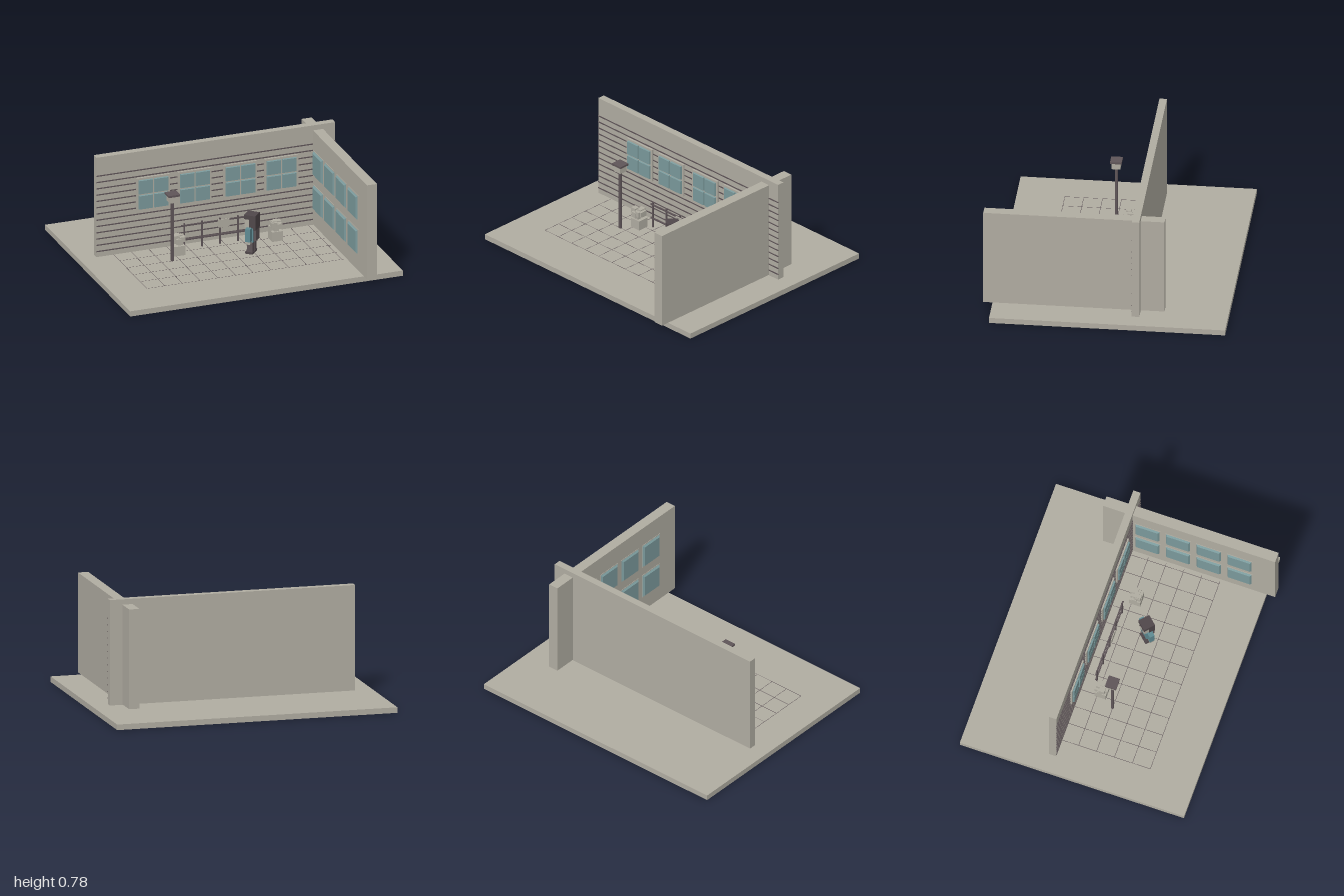
import * as THREE from 'three';

const mat = (name, color) => Object.assign(new THREE.MeshStandardMaterial({ color }), { name });

export function createModel() {
  const stone = mat('warm grey', 0xb0aca1);
  const dark = mat('dark plum', 0x5f5558);
  const glass = mat('teal glass', 0x7a999b);
  const cloth = mat('teal cloth', 0x5f8a92);
  const hair = mat('dark hair', 0x50474a);

  const root = new THREE.Group();
  root.name = 'courtyard';

  // Box given by its minimum and maximum corners
  function box(parent, name, m, x0, x1, y0, y1, z0, z1) {
    const mesh = new THREE.Mesh(new THREE.BoxGeometry(x1 - x0, y1 - y0, z1 - z0), m);
    mesh.position.set((x0 + x1) / 2, (y0 + y1) / 2, (z0 + z1) / 2);
    mesh.name = name;
    parent.add(mesh);
    return mesh;
  }
  function group(name, x = 0, y = 0, z = 0) {
    const g = new THREE.Group();
    g.name = name;
    g.position.set(x, y, z);
    root.add(g);
    return g;
  }
  // Pane whose front (+z) face is slightly smaller than its back
  function pane(parent, m, x, y, z, w, h, d, inset) {
    const geo = new THREE.BoxGeometry(w, h, d).toNonIndexed();
    const p = geo.attributes.position;
    for (let i = 0; i < p.count; i++) {
      if (p.getZ(i) > 0) {
        p.setX(i, p.getX(i) - Math.sign(p.getX(i)) * inset);
        p.setY(i, p.getY(i) - Math.sign(p.getY(i)) * inset);
      }
    }
    geo.computeVertexNormals();
    const mesh = new THREE.Mesh(geo, m);
    mesh.name = 'windowPane';
    mesh.position.set(x, y, z + d / 2);
    parent.add(mesh);
  }

  // Ground slab and the two walls
  box(root, 'floor', stone, -1, 1, 0, 0.039, -0.845, 0.782);
  box(root, 'backWall', stone, -0.875, 0.875, 0.039, 0.778, -0.24, -0.188);
  box(root, 'sideWall', stone, 0.713, 0.786, 0.042, 0.741, -0.404, 0.845);

  // Siding grooves
  const siding = group('siding');
  for (let i = 0; i < 13; i++) {
    const y = 0.08 + i * 0.0467;
    box(siding, 'sidingStrip', dark, -0.875, 0.875, y - 0.004, y + 0.004, -0.189, -0.185);
  }

  // Thin paving joints
  const paving = group('pavingJoints');
  for (let x = -0.75; x < 0.7; x += 0.13)
    box(paving, 'joint', dark, x - 0.0015, x + 0.0015, 0.038, 0.0395, -0.187, 0.45);
  for (let z = -0.07; z < 0.5; z += 0.13)
    box(paving, 'joint', dark, -0.75, 0.7, 0.038, 0.0395, z - 0.0015, z + 0.0015);

  // Four framed windows with 2 x 2 panes
  for (const x of [-0.463, -0.158, 0.175, 0.477]) {
    const w = group('backWindow', x, 0.461, -0.188);
    box(w, 'frame', stone, -0.123, 0.123, -0.123, 0.123, 0, 0.013);
    for (const sx of [-1, 1])
      for (const sy of [-1, 1])
        pane(w, glass, sx * 0.0565, sy * 0.0565, 0.013, 0.104, 0.104, 0.012, 0.003);
  }

  // Two rows of windows on the inner side wall
  for (const y of [0.252, 0.505])
    for (const z of [-0.08, 0.142, 0.364, 0.588]) {
      const w = group('sideWindow', 0.713, y, z);
      w.rotation.y = -Math.PI / 2;
      box(w, 'frame', stone, -0.093, 0.093, -0.093, 0.093, 0, 0.003);
      pane(w, glass, 0, 0, 0.003, 0.176, 0.176, 0.012, 0.01);
    }

  // Street lamp
  const lamp = group('streetLamp', -0.413, 0.039, 0.058);
  box(lamp, 'post', dark, -0.009, 0.009, 0, 0.445, -0.009, 0.009);
  box(lamp, 'lantern', stone, -0.03, 0.03, 0.441, 0.49, -0.03, 0.03);
  box(lamp, 'lampCap', dark, -0.042, 0.042, 0.488, 0.502, -0.04, 0.04);

  // Railing with a small sign
  const rail = group('railing', 0, 0, -0.108);
  for (const y of [0.107, 0.212]) box(rail, 'rail', dark, -0.283, 0.283, y - 0.005, y + 0.005, -0.005, 0.005);
  for (let i = -2; i <= 2; i++)
    box(rail, 'railPost', dark, i * 0.131 - 0.005, i * 0.131 + 0.005, 0.039, 0.23, -0.005, 0.005);
  box(rail, 'sign', stone, -0.02, 0.062, 0.168, 0.226, 0.016, 0.022);

  // Planters with cube foliage
  let seed = 7;
  const rnd = () => (seed = (seed * 16807) % 2147483647) / 2147483647;
  for (const x of [-0.333, 0.383]) {
    const p = group('planter', x, 0.039, -0.045);
    box(p, 'pot', stone, -0.04, 0.04, 0, 0.07, -0.04, 0.04);
    for (let i = 0; i < 12; i++) {
      const a = i * 2.4, r = 0.03 * Math.min(1, 0.4 + rnd());
      const cx = Math.cos(a) * r, cz = Math.sin(a) * r, cy = 0.085 + rnd() * 0.045, s = 0.014 + rnd() * 0.006;
      box(p, 'foliage', stone, cx - s, cx + s, cy - s, cy + s, cz - s, cz + s);
    }
  }

  // Blocky figure, facing the railing (local -z)
  const fig = group('figure', 0.15, 0.039, 0.11);
  fig.rotation.y = 0.83;
  for (const s of [-1, 1]) {
    box(fig, 'shoe', hair, s * 0.022 - 0.02, s * 0.022 + 0.02, 0, 0.016, -0.032, 0.022);
    box(fig, 'leg', dark, s * 0.022 - 0.018, s * 0.022 + 0.018, 0.014, 0.095, -0.02, 0.02);
    box(fig, 'arm', cloth, s * 0.062 - 0.018, s * 0.062 + 0.018, 0.105, 0.2, -0.018, 0.018);
    box(fig, 'hand', stone, s * 0.062 - 0.016, s * 0.062 + 0.016, 0.085, 0.105, -0.016, 0.016);
  }
  box(fig, 'torso', cloth, -0.043, 0.043, 0.09, 0.195, -0.026, 0.024);
  box(fig, 'backpack', dark, -0.032, 0.032, 0.1, 0.185, 0.024, 0.042);
  box(fig, 'head', stone, -0.038, 0.038, 0.194, 0.265, -0.04, 0.034);
  box(fig, 'hairTop', hair, -0.042, 0.042, 0.256, 0.287, -0.043, 0.042);
  box(fig, 'hairBack', hair, -0.042, 0.042, 0.18, 0.258, -0.004, 0.042);
  for (const s of [-1, 1])
    box(fig, 'eye', hair, s * 0.018 - 0.006, s * 0.018 + 0.006, 0.225, 0.238, -0.042, -0.039);

  return root;
}
